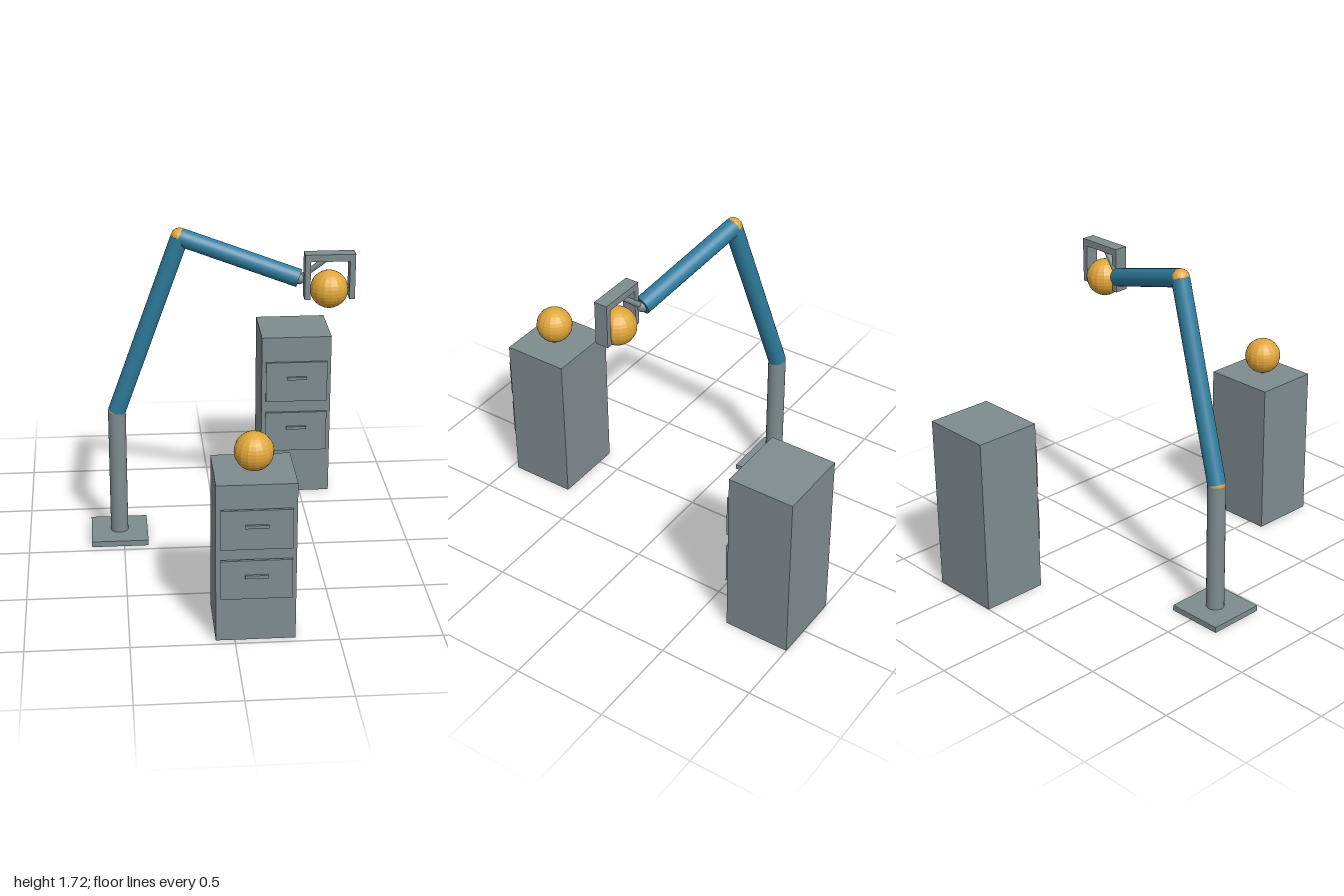
import * as THREE from 'three';

const mat = (name, color, flatShading = false) => {
  const m = new THREE.MeshStandardMaterial({ color, flatShading });
  m.name = name;
  return m;
};

export function createModel() {
  const grey = mat('steelGrey', 0x7f8c8f);
  const blue = mat('armBlue', 0x2f7d9f);
  const gold = mat('ballGold', 0xe0a63a, true);
  const model = new THREE.Group();
  model.name = 'robotArmWithCabinets';

  const add = (parent, name, geometry, material, x, y, z) => {
    const mesh = new THREE.Mesh(geometry, material);
    mesh.name = name;
    mesh.position.set(x, y, z);
    parent.add(mesh);
    return mesh;
  };
  const box = (parent, name, w, h, d, x, y, z) =>
    add(parent, name, new THREE.BoxGeometry(w, h, d), grey, x, y, z);
  const ball = (parent, name, r, p, material = gold) =>
    add(parent, name, new THREE.SphereGeometry(r, 16, 16), material, p.x, p.y, p.z);

  // Round bar between two points
  const rod = (parent, name, a, b, r, material) => {
    const dir = b.clone().sub(a);
    const mid = a.clone().add(b).multiplyScalar(0.5);
    const mesh = add(parent, name, new THREE.CylinderGeometry(r, r, dir.length(), 24), material, mid.x, mid.y, mid.z);
    mesh.quaternion.setFromUnitVectors(new THREE.Vector3(0, 1, 0), dir.normalize());
    return mesh;
  };

  // Arm: plate, column, two segments with ball joints
  const arm = new THREE.Group();
  arm.name = 'arm';
  model.add(arm);
  const R = 0.046;
  const foot = new THREE.Vector3(-0.522, 0.03, -0.19);
  const shoulder = new THREE.Vector3(-0.522, 0.715, -0.19);
  const elbow = new THREE.Vector3(-0.19, 1.675, -0.112);
  const wrist = new THREE.Vector3(0.395, 1.488, 0.02);
  const grip = new THREE.Vector3(0.54, 1.612, 0.06);
  box(arm, 'basePlate', 0.298, 0.03, 0.298, foot.x, 0.015, foot.z);
  rod(arm, 'column', foot, shoulder, R, grey);
  rod(arm, 'upperArm', shoulder, elbow, R, blue);
  rod(arm, 'forearm', elbow, wrist, R, blue);
  ball(arm, 'shoulderJoint', R, shoulder);
  ball(arm, 'elbowJoint', R, elbow);
  ball(arm, 'wristJoint', 0.03, wrist, grey);
  rod(arm, 'wristRod', wrist, grip, 0.014, grey);

  // Gripper holding a ball
  const gripper = new THREE.Group();
  gripper.name = 'gripper';
  arm.add(gripper);
  box(gripper, 'gripperBar', 0.25, 0.036, 0.07, grip.x, grip.y, grip.z);
  for (const s of [-1, 1]) {
    box(gripper, s > 0 ? 'leftFinger' : 'rightFinger', 0.028, 0.196, 0.07, grip.x + s * 0.111, 1.497, grip.z);
  }
  ball(model, 'heldBall', 0.095, new THREE.Vector3(0.54, 1.443, 0.06));

  // Cabinets, each with two drawers standing just off the front
  const cabinet = (name, w, h, d, x, z, drawerW, drawerH, drawerYs, handleYs) => {
    const group = new THREE.Group();
    group.name = name;
    group.position.set(x, 0, z);
    model.add(group);
    box(group, 'cabinetBody', w, h, d, 0, h / 2, 0);
    drawerYs.forEach((y, i) => {
      box(group, 'drawerFront', drawerW, drawerH, 0.014, 0, y, d / 2 + 0.016);
      box(group, 'drawerHandle', 0.11, 0.016, 0.014, 0, handleYs[i], d / 2 + 0.028);
    });
  };
  cabinet('frontCabinet', 0.382, 0.813, 0.346, 0.1, 0.792, 0.34, 0.202, [0.592, 0.332], [0.612, 0.351]);
  cabinet('rearCabinet', 0.382, 0.922, 0.346, 0.474, -0.827, 0.338, 0.229, [0.669, 0.373], [0.692, 0.398]);
  ball(model, 'restingBall', 0.095, new THREE.Vector3(0.1, 0.912, 0.805));

  return model;
}
